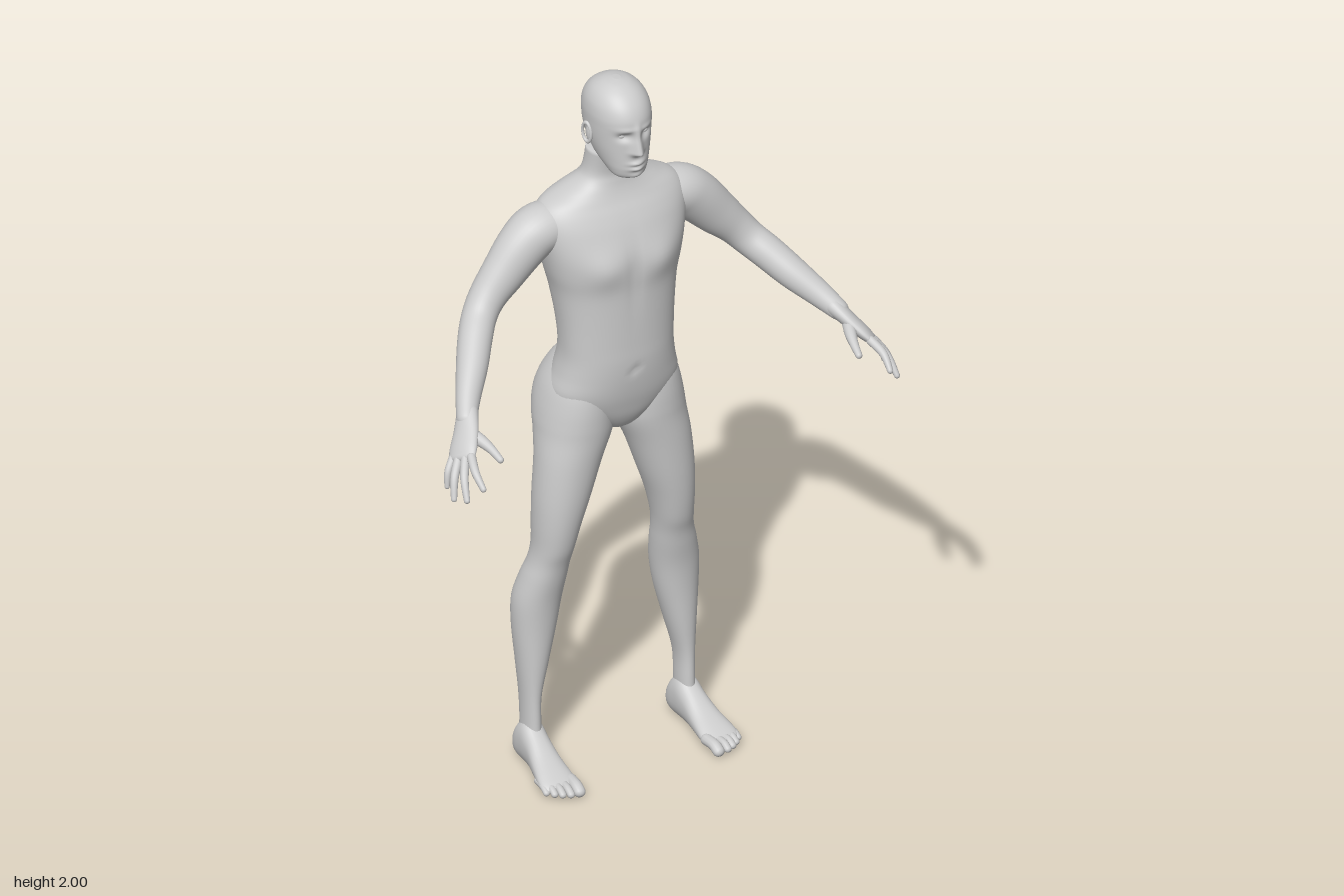
import * as THREE from 'three';

const V = (x, y, z) => new THREE.Vector3(x, y, z);
const skin = new THREE.MeshStandardMaterial({ color: 0xcccccc });
skin.name = 'grey skin';

// Smoothly resample a table of rows, column by column
function resample(rows, count) {
  const out = [], last = rows.length - 1;
  for (let i = 0; i < count; i++) {
    const t = (i / (count - 1)) * last, k = Math.min(Math.floor(t), last - 1), f = t - k;
    const p = [k - 1, k, k + 1, k + 2].map(j => rows[Math.max(0, Math.min(last, j))]);
    out.push(p[0].map((_, c) => {
      const [a, b, d, e] = p.map(r => r[c]);
      return b + 0.5 * f * (d - a + f * (2 * a - 5 * b + 4 * d - e + f * (3 * (b - d) + e - a)));
    }));
  }
  return out;
}

// Closed skin over a list of rings, each running counter-clockwise about the travel direction
function skinRings(rings) {
  const n = rings[0].length, m = rings.length, pos = [], idx = [];
  rings.forEach(r => r.forEach(p => pos.push(p.x, p.y, p.z)));
  for (const r of [rings[0], rings[m - 1]]) {
    const c = r.reduce((s, p) => s.add(p), V(0, 0, 0)).divideScalar(n);
    pos.push(c.x, c.y, c.z);
  }
  for (let j = 0; j < n; j++) {
    const k = (j + 1) % n;
    for (let i = 0; i < m - 1; i++) {
      const a = i * n + j, b = i * n + k;
      idx.push(a, b, b + n, a, b + n, a + n);
    }
    idx.push(m * n, k, j, m * n + 1, (m - 1) * n + j, (m - 1) * n + k);
  }
  const g = new THREE.BufferGeometry();
  g.setAttribute('position', new THREE.Float32BufferAttribute(pos, 3));
  g.setIndex(idx);
  g.computeVertexNormals();
  return g;
}

const ringOf = (n, fn) => Array.from({ length: n }, (_, j) => {
  const t = (j / n) * Math.PI * 2;
  return fn(Math.cos(t), Math.sin(t));
});
const power = (t, e) => Math.sign(t) * Math.pow(Math.abs(t), 2 / e);

// Horizontal sections, rows [y, x0, x1, zFront, zBack], with an optional sculpting rule
function stack(rows, count, segs, e, sculpt) {
  return skinRings(resample(rows, count).map(([y, x0, x1, zf, zb]) => ringOf(segs, (c, s) => {
    const p = V((x0 + x1) / 2 + (x1 - x0) / 2 * power(s, e), y, (zf + zb) / 2 + (zf - zb) / 2 * power(c, e));
    if (sculpt) sculpt(p, Math.max(0, c), Math.max(0, -c));
    return p;
  })));
}

// Rounded limb along a path, rows [x, y, z, radius along side, other radius]
function limb(rows, side, count = 14, segs = 16) {
  const r = resample(rows, count), at = i => V(r[i][0], r[i][1], r[i][2]), rings = [];
  const add = (i, shift, scale) => {
    const w = at(Math.min(i + 1, count - 1)).sub(at(Math.max(i - 1, 0))).normalize();
    const u = side.clone().addScaledVector(w, -side.dot(w)).normalize();
    const v = w.clone().cross(u), o = at(i).addScaledVector(w, shift);
    rings.push(ringOf(segs, (c, s) => o.clone().addScaledVector(u, r[i][3] * scale * c).addScaledVector(v, r[i][4] * scale * s)));
  };
  const cap = (i, dir, k) => {
    const a = k * Math.PI / 10;
    add(i, dir * Math.min(r[i][3], r[i][4]) * Math.sin(a), Math.cos(a));
  };
  for (let k = 4; k > 0; k--) cap(0, -1, k);
  for (let i = 0; i < count; i++) add(i, 0, 1);
  for (let k = 1; k < 5; k++) cap(count - 1, 1, k);
  return skinRings(rings);
}

function mirror(g) {
  const m = g.clone().scale(-1, 1, 1), ix = m.index.array;
  for (let i = 0; i < ix.length; i += 3) [ix[i], ix[i + 1]] = [ix[i + 1], ix[i]];
  m.computeVertexNormals();
  return m;
}

// Soft bump centred on zero
const bump = (dx, sx, dy, sy) => Math.exp(-((dx / sx) ** 2) - (dy / sy) ** 2);

export function createModel() {
  const body = new THREE.Group();
  body.name = 'standing figure';
  const add = (name, g) => {
    const m = new THREE.Mesh(g, skin);
    m.name = name;
    body.add(m);
  };
  const pair = (name, g) => { add('left' + name, g); add('right' + name, mirror(g)); };
  const even = rows => rows.map(([y, hw, zf, zb]) => [y, -hw, hw, zf, zb]);

  // Torso and neck, with chest, spine and shoulder blade relief
  add('torso', stack(even([
    [0.965, 0.02, -0.08, -0.13], [0.985, 0.06, -0.055, -0.17], [1.02, 0.115, -0.035, -0.21],
    [1.06, 0.165, -0.022, -0.235], [1.10, 0.178, -0.012, -0.24], [1.15, 0.166, -0.004, -0.232],
    [1.20, 0.157, 0, -0.22], [1.25, 0.156, 0, -0.214], [1.32, 0.161, 0, -0.226],
    [1.40, 0.172, 0, -0.247], [1.46, 0.187, 0.001, -0.255], [1.52, 0.20, -0.005, -0.257],
    [1.58, 0.212, -0.026, -0.252], [1.62, 0.21, -0.045, -0.245], [1.65, 0.188, -0.062, -0.233],
    [1.675, 0.138, -0.073, -0.22], [1.70, 0.092, -0.08, -0.203], [1.73, 0.074, -0.083, -0.19],
    [1.79, 0.068, -0.07, -0.182],
  ]), 80, 72, 2.25, (p, front, back) => {
    const ax = Math.abs(p.x);
    p.z += front * (0.013 * bump(ax - 0.085, 0.055, p.y - 1.485, 0.045)
      - 0.005 * bump(p.x, 0.015, p.y - 1.46, 0.1)
      - 0.006 * bump(p.x, 0.009, p.y - 1.175, 0.012));
    p.z += back * (0.016 * bump(p.x, 0.025, p.y - 1.38, 0.22)
      - 0.011 * bump(ax - 0.1, 0.045, p.y - 1.56, 0.07));
  }));

  // Head with brow, eye sockets, nose, lips and chin
  add('head', stack(even([
    [1.743, 0.028, -0.02, -0.06], [1.755, 0.045, -0.002, -0.09], [1.775, 0.056, 0.006, -0.13],
    [1.80, 0.066, 0.007, -0.17], [1.83, 0.074, 0.006, -0.19], [1.86, 0.079, 0.006, -0.205],
    [1.89, 0.081, 0.008, -0.212], [1.92, 0.081, 0.006, -0.212], [1.95, 0.075, -0.008, -0.2],
    [1.975, 0.06, -0.032, -0.177], [1.992, 0.036, -0.062, -0.145], [1.999, 0.01, -0.09, -0.115],
  ]), 100, 112, 2.1, (p, front) => {
    const ax = Math.abs(p.x), t = (1.895 - p.y) / 0.063;
    const nose = t < 0 ? 0.006 * Math.exp(-((t * 4) ** 2)) : t < 1 ? 0.006 + 0.02 * t : 0.026 * Math.exp(-(((t - 1) * 6) ** 2));
    p.z += front * (nose * bump(p.x, 0.009 + 0.007 * Math.max(0, Math.min(1, t)), 0, 1)
      - 0.013 * bump(ax - 0.031, 0.018, p.y - 1.876, 0.012)
      + 0.004 * bump(ax - 0.03, 0.025, p.y - 1.896, 0.008)
      + 0.008 * bump(p.x, 0.02, p.y - 1.797, 0.006)
      + 0.008 * bump(p.x, 0.018, p.y - 1.781, 0.006)
      + 0.006 * bump(p.x, 0.02, p.y - 1.757, 0.01));
  }));
  pair('Eye', new THREE.SphereGeometry(0.014, 20, 14).scale(1.1, 0.75, 1).translate(0.031, 1.876, -0.024));
  pair('EarRim', new THREE.TorusGeometry(0.023, 0.005, 10, 28).scale(0.65, 1.15, 1)
    .rotateY(Math.PI / 2 - 0.3).rotateX(-0.12).translate(0.085, 1.857, -0.105));
  pair('EarBowl', new THREE.SphereGeometry(0.02, 16, 12).scale(0.35, 1.2, 0.7).translate(0.08, 1.855, -0.102));

  // Legs, including buttocks, knees and calves
  pair('Leg', stack([
    [0.03, 0.2, 0.252, -0.13, -0.193], [0.08, 0.203, 0.25, -0.11, -0.193], [0.12, 0.203, 0.248, -0.11, -0.19],
    [0.2, 0.2, 0.25, -0.112, -0.195], [0.3, 0.175, 0.258, -0.108, -0.21], [0.4, 0.15, 0.266, -0.105, -0.222],
    [0.48, 0.137, 0.266, -0.098, -0.224], [0.55, 0.13, 0.25, -0.085, -0.208], [0.6, 0.127, 0.235, -0.075, -0.192],
    [0.65, 0.12, 0.228, -0.06, -0.188], [0.72, 0.103, 0.228, -0.048, -0.193], [0.8, 0.076, 0.226, -0.04, -0.2],
    [0.9, 0.042, 0.217, -0.035, -0.213], [0.97, 0.01, 0.208, -0.032, -0.245], [1.01, 0.002, 0.204, -0.03, -0.265],
    [1.06, 0.002, 0.195, -0.03, -0.274], [1.11, 0.006, 0.18, -0.035, -0.262], [1.16, 0.02, 0.155, -0.05, -0.235],
    [1.2, 0.04, 0.13, -0.08, -0.2],
  ], 76, 40, 2.1));

  // Feet: sections from heel to ball, rows [z, centre x, half width, bottom, top]
  pair('Foot', skinRings(resample([
    [-0.205, 0.225, 0.014, 0.02, 0.05], [-0.197, 0.225, 0.027, 0.006, 0.08], [-0.175, 0.226, 0.034, 0, 0.11],
    [-0.14, 0.227, 0.036, 0, 0.125], [-0.1, 0.229, 0.037, 0.002, 0.1], [-0.05, 0.233, 0.043, 0.002, 0.068],
    [0, 0.237, 0.05, 0, 0.045], [0.025, 0.238, 0.048, 0.002, 0.033], [0.04, 0.234, 0.04, 0.006, 0.024],
  ], 36).map(([z, cx, hw, lo, hi]) => ringOf(32, (c, s) =>
    V(cx + hw * power(c, 2.3), (lo + hi) / 2 + (hi - lo) / 2 * power(s, 2.3), z)))));
  const toes = [[0.203, 0.068, 0.016], [0.229, 0.07, 0.0105], [0.248, 0.061, 0.01], [0.265, 0.049, 0.0095], [0.28, 0.033, 0.009]];
  toes.forEach(([x, z, r], i) => pair('Toe' + (i + 1), limb([
    [x - 0.003, 0.02, z - 0.055, r, r], [x, 0.021, z - 0.02, r, r * 0.9], [x + 0.001, 0.0125, z, r, r * 0.9],
  ], V(1, 0, 0), 10, 12)));

  // Arms from shoulder to wrist
  pair('Arm', limb([
    [0.12, 1.59, -0.15, 0.065, 0.055], [0.2, 1.583, -0.148, 0.07, 0.066], [0.25, 1.55, -0.145, 0.064, 0.068],
    [0.31, 1.487, -0.14, 0.054, 0.06], [0.36, 1.435, -0.133, 0.048, 0.05], [0.395, 1.395, -0.115, 0.046, 0.046],
    [0.43, 1.36, -0.075, 0.045, 0.045], [0.47, 1.317, -0.02, 0.041, 0.042], [0.515, 1.272, 0.04, 0.032, 0.034],
    [0.545, 1.24, 0.085, 0.027, 0.027],
  ], V(0, 0, 1), 50, 36));

  // Hands: palm, four fingers and thumb
  const across = V(-0.45, 0.35, 0.82);
  pair('Palm', limb([
    [0.537, 1.248, 0.075, 0.03, 0.024], [0.562, 1.218, 0.112, 0.037, 0.02],
    [0.585, 1.192, 0.14, 0.042, 0.018], [0.598, 1.177, 0.156, 0.041, 0.014],
  ], across, 16, 28));
  const fingers = {
    IndexFinger: [0.586, 1.186, 0.182, 0.597, 1.135, 0.264], MiddleFinger: [0.595, 1.179, 0.167, 0.631, 1.098, 0.239],
    RingFinger: [0.605, 1.171, 0.149, 0.646, 1.086, 0.198], LittleFinger: [0.614, 1.164, 0.133, 0.641, 1.099, 0.153],
  };
  for (const [name, [x, y, z, tx, ty, tz]] of Object.entries(fingers)) {
    const r = name === 'LittleFinger' ? 0.0095 : 0.011;
    pair(name, limb([
      [x, y, z, r * 1.1, r * 1.1],
      [(x + tx) / 2 + 0.007, (y + ty) / 2 + 0.005, (z + tz) / 2 + 0.003, r, r],
      [tx, ty, tz, r * 0.75, r * 0.7],
    ], across));
  }
  pair('Thumb', limb([
    [0.558, 1.218, 0.115, 0.018, 0.018], [0.542, 1.207, 0.155, 0.016, 0.016],
    [0.532, 1.197, 0.19, 0.012, 0.012], [0.526, 1.183, 0.227, 0.009, 0.009],
  ], V(0, 1, 0)));

  return body;
}
